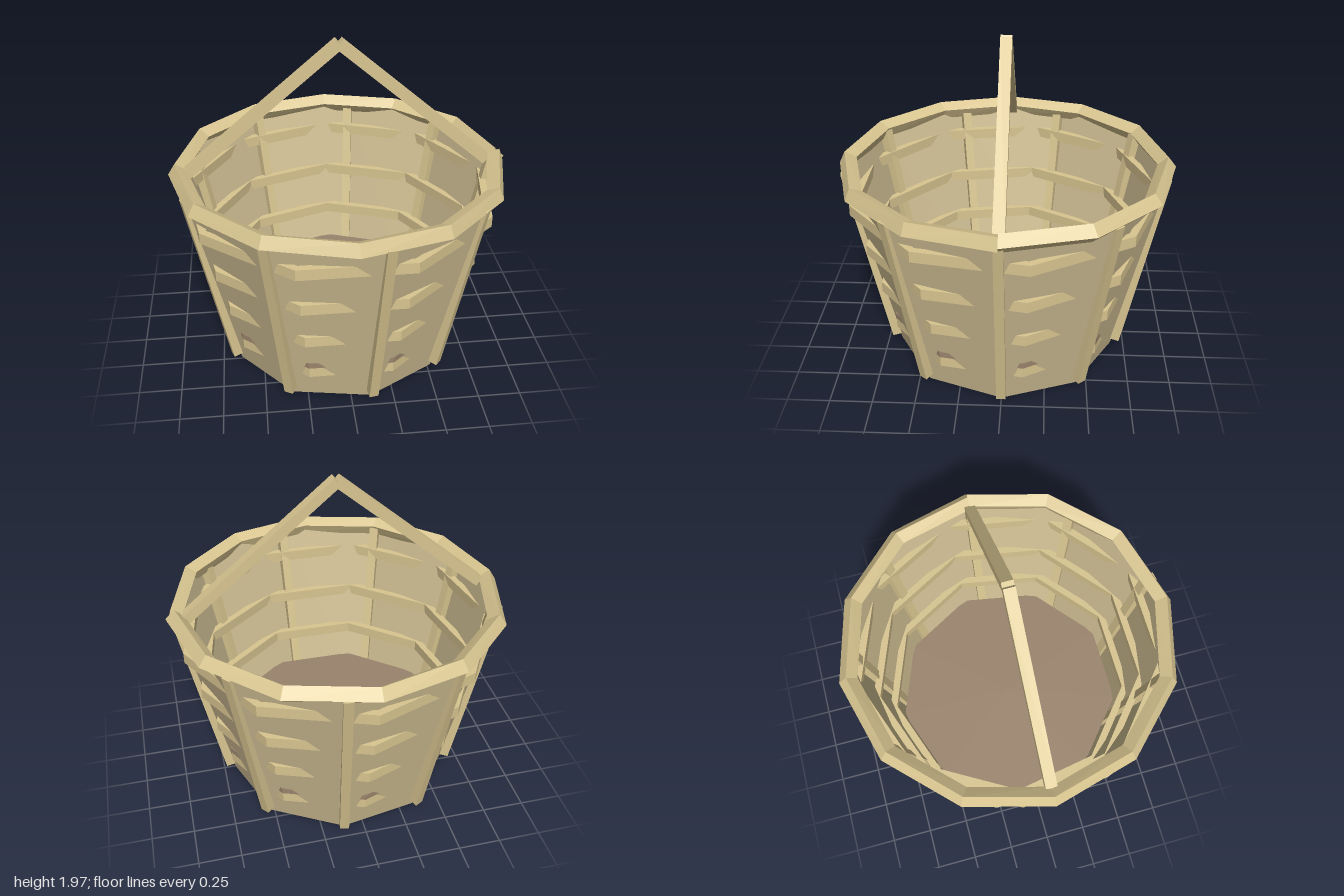
import * as THREE from 'three';

const SIDES = 9;

function material(name, color) {
  const m = new THREE.MeshStandardMaterial({ color, flatShading: true, side: THREE.DoubleSide });
  m.name = name;
  return m;
}

// Four-sided ring whose section turns slowly along its length, leaving a small step at the seam
function twistedRing(radius, tube, segments, twist) {
  const geo = new THREE.TorusGeometry(radius, tube, 4, segments);
  const pos = geo.attributes.position;
  for (let k = 0; k < pos.count; k++) {
    const t = (k % (segments + 1)) / segments;
    const v = (Math.floor(k / (segments + 1)) / 4) * Math.PI * 2 + twist * t;
    const u = t * Math.PI * 2;
    const r = radius + tube * Math.cos(v);
    pos.setXYZ(k, r * Math.cos(u), r * Math.sin(u), tube * Math.sin(v));
  }
  geo.rotateX(-Math.PI / 2);
  geo.computeVertexNormals();
  return geo;
}

export function createModel() {
  const model = new THREE.Group();
  model.name = 'basket';
  const wallTan = material('wall tan', 0xcfbe93);
  const tan = material('light tan', 0xd8c590);
  const brown = material('floor brown', 0x9a846c);

  function add(name, geo, mat, parent = model) {
    const mesh = new THREE.Mesh(geo, mat);
    mesh.name = name;
    parent.add(mesh);
    return mesh;
  }

  // Flared wall, open at the top, with a closed underside
  const wallHeight = 1.2;
  const wall = new THREE.CylinderGeometry(0.96, 0.68, wallHeight, SIDES, 1, true, Math.PI / 2);
  add('wall', wall, wallTan).position.y = wallHeight / 2;
  const base = new THREE.CircleGeometry(0.68, SIDES);
  base.rotateX(Math.PI / 2);
  add('underside', base, wallTan);

  // Raised floor, its corners just breaking through the wall
  const floor = new THREE.CylinderGeometry(0.72, 0.72, 0.035, SIDES, 1, false, Math.PI);
  add('floor', floor, brown).position.y = 0.258;

  // Woven bands: rings turned against the wall so they weave in and out
  const bands = [[0.207, 0.715], [0.485, 0.79], [0.757, 0.863], [1.035, 0.942]];
  for (const [y, r] of bands) {
    const h = 0.0325, inner = r - 0.045;
    const profile = [[inner, -h], [r, -h], [r, h], [inner, h], [inner, -h]]
      .map(([x, py]) => new THREE.Vector2(x, py));
    add('wovenBand', new THREE.LatheGeometry(profile, SIDES, Math.PI), tan).position.y = y;
  }

  // Upright ribs leaning along the wall corners
  const low = new THREE.Vector2(0.697, 0.045), high = new THREE.Vector2(0.931, 1.2);
  const lean = high.clone().sub(low);
  const ribGeo = new THREE.BoxGeometry(0.08, lean.length(), 0.055);
  for (let k = 0; k < SIDES; k++) {
    const holder = new THREE.Group();
    holder.name = 'ribHolder';
    holder.rotation.y = (-k * Math.PI * 2) / SIDES;
    const rib = add('rib', ribGeo, tan, holder);
    rib.position.set((low.x + high.x) / 2, (low.y + high.y) / 2, 0);
    rib.rotation.z = -Math.atan2(lean.x, lean.y);
    model.add(holder);
  }

  // Rim
  add('rim', twistedRing(0.945, 0.055, 12, -0.45), tan).position.y = 1.205;

  // Handle: two straight bars meeting above the middle
  const reach = 0.885, foot = 1.2, apex = 1.952;
  const barGeo = new THREE.BoxGeometry(Math.hypot(reach, apex - foot), 0.06, 0.066);
  for (const side of [-1, 1]) {
    const bar = add(side > 0 ? 'handleLeft' : 'handleRight', barGeo, tan);
    bar.position.set((side * reach) / 2, (foot + apex) / 2, 0);
    bar.rotation.z = -side * Math.atan2(apex - foot, reach);
  }
  return model;
}
